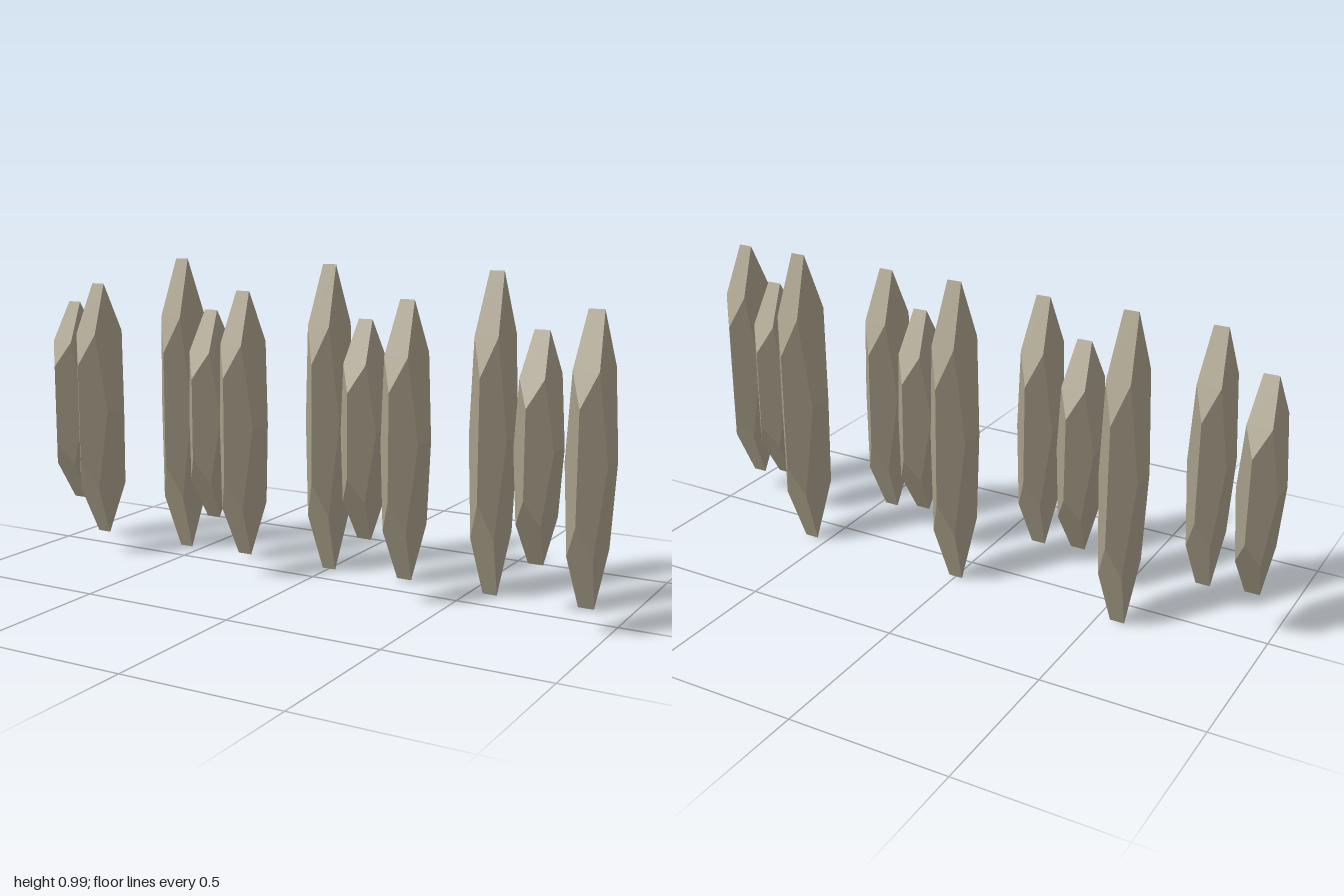
import * as THREE from 'three';

export function createModel() {
  const group = new THREE.Group();
  group.name = 'stoneRow';

  const stone = new THREE.MeshStandardMaterial({ color: 0xa89f8a });
  stone.name = 'warm grey stone';
  stone.flatShading = true;

  // Dodecahedron normalised so that it reaches exactly 1 along each axis
  const unit = new THREE.DodecahedronGeometry(1);
  unit.computeBoundingBox();
  const k = 1 / unit.boundingBox.max.y;
  unit.scale(k, k, k);

  // Eleven stretched stones in three repeating heights, weaving front to back
  const count = 11;
  const halfHeights = [0.342, 0.418, 0.494];
  const halfWidth = 0.061, halfDepth = 0.1145;
  const spacing = (2 - 2 * halfWidth) / (count - 1);

  for (let i = 0; i < count; i++) {
    const geometry = unit.clone().scale(halfWidth, halfHeights[i % 3], halfDepth);
    geometry.computeVertexNormals(); // unshared corners give flat facets
    const mesh = new THREE.Mesh(geometry, stone);
    mesh.name = `stone${i + 1}`;
    mesh.position.set(
      (i - (count - 1) / 2) * spacing,
      0.497,
      Math.sin(i * 2.1) * 0.122 + 0.0015
    );
    group.add(mesh);
  }
  return group;
}
